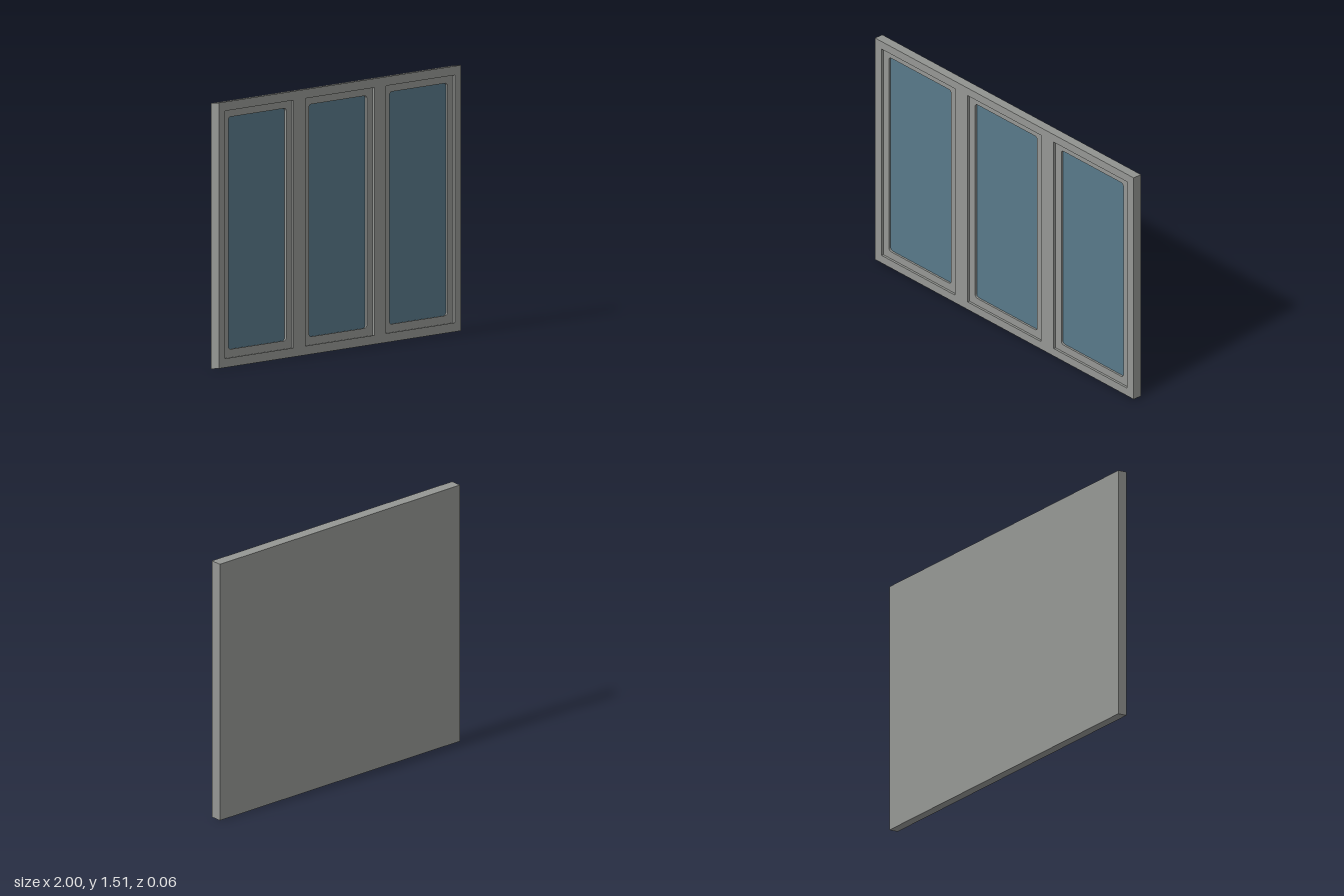
import * as THREE from 'three';

const BACK = -0.03, FRONT = 0.03, SASH_Z = 0.015, GLASS_Z = 0.002;
const HEIGHT = 1.5, SLOPE = 0.13;
const CENTRES = [-0.666, 0, 0.666];

// Rectangle outline centred on (cx, cy), with optional rounded corners
function rect(path, cx, cy, w, h, r = 0) {
  const x = w / 2, y = h / 2;
  if (!r) {
    path.moveTo(cx - x, cy - y).lineTo(cx + x, cy - y);
    path.lineTo(cx + x, cy + y).lineTo(cx - x, cy + y).closePath();
    return path;
  }
  [[1, -1, -0.5], [1, 1, 0], [-1, 1, 0.5], [-1, -1, 1]].forEach(([sx, sy, a]) =>
    path.absarc(cx + sx * (x - r), cy + sy * (y - r), r, a * Math.PI, (a + 0.5) * Math.PI, false));
  path.closePath();
  return path;
}

// Whole window leans up slightly from back to front while its faces stay upright
function slope(geometry) {
  const p = geometry.attributes.position;
  for (let i = 0; i < p.count; i++) p.setY(i, p.getY(i) + (p.getZ(i) - BACK) * SLOPE);
  geometry.computeVertexNormals();
  return geometry;
}

function plate(shape, z0, z1) {
  const g = new THREE.ExtrudeGeometry(shape, { depth: z1 - z0, bevelEnabled: false, curveSegments: 4 });
  return slope(g.translate(0, 0, z0));
}

export function createModel() {
  const group = new THREE.Group();
  const frameGrey = new THREE.MeshStandardMaterial({ color: 0x959794 });
  frameGrey.name = 'frameGrey';
  const glassBlue = new THREE.MeshStandardMaterial({ color: 0x58798a });
  glassBlue.name = 'glassBlue';
  const add = (name, geometry, material) => {
    const mesh = new THREE.Mesh(geometry, material);
    mesh.name = name;
    group.add(mesh);
  };
  const midY = HEIGHT / 2;

  // Solid back panel
  add('backPanel', slope(new THREE.BoxGeometry(2, HEIGHT, -BACK).translate(0, midY, BACK / 2)), frameGrey);

  // Outer frame with three openings
  const frame = rect(new THREE.Shape(), 0, midY, 2, HEIGHT);
  CENTRES.forEach(x => frame.holes.push(rect(new THREE.Path(), x, midY, 0.568, 1.398)));
  add('outerFrame', plate(frame, 0, FRONT), frameGrey);

  // Recessed sash and glass in each opening
  CENTRES.forEach((x, i) => {
    const sash = rect(new THREE.Shape(), x, midY, 0.568, 1.398);
    sash.holes.push(rect(new THREE.Path(), x, midY + 0.004, 0.479, 1.312, 0.018));
    add('sash' + (i + 1), plate(sash, 0, SASH_Z), frameGrey);
    const pane = rect(new THREE.Shape(), x, midY + 0.004, 0.479, 1.312, 0.018);
    add('glassPane' + (i + 1), plate(pane, 0, GLASS_Z), glassBlue);
  });
  return group;
}
